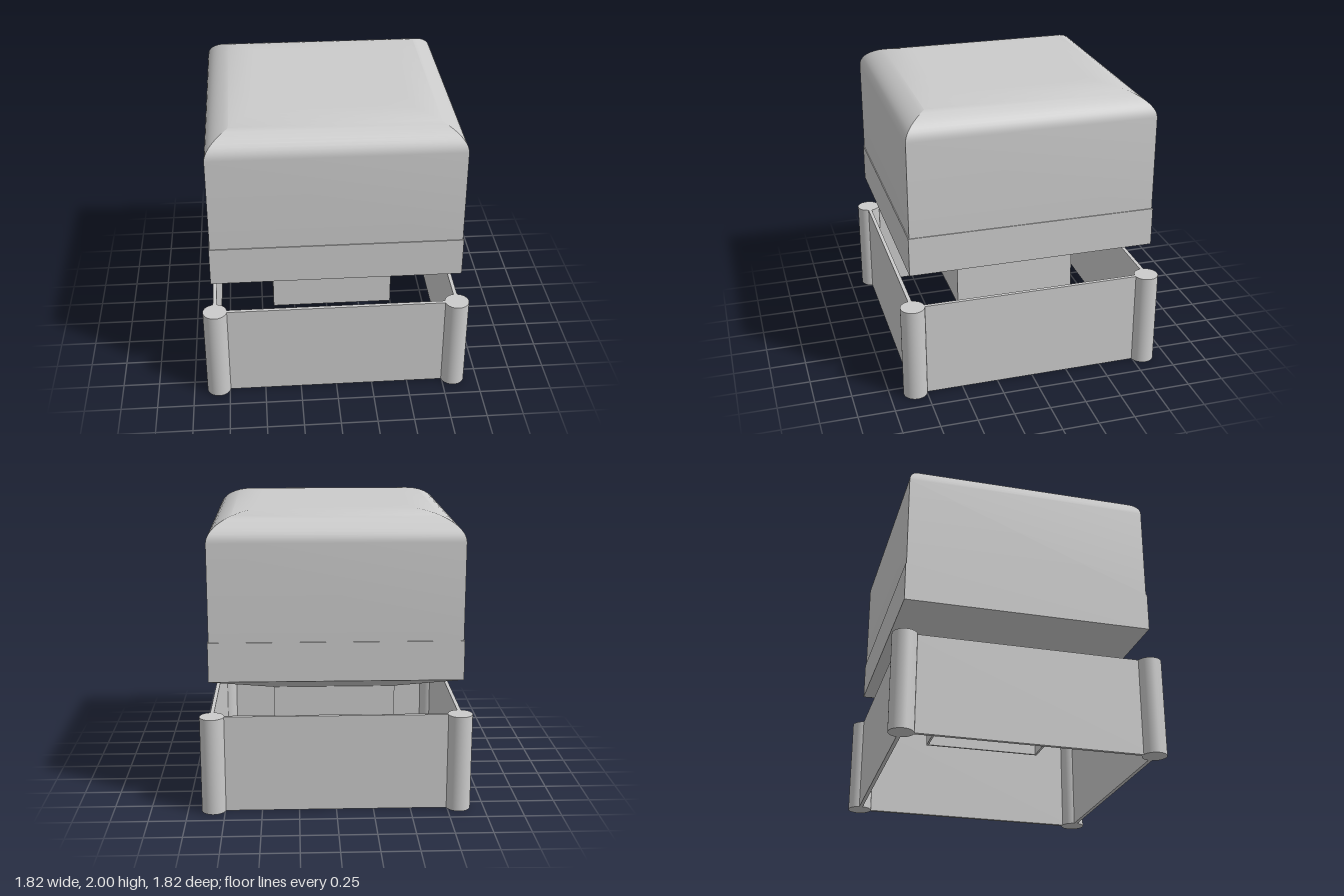
import * as THREE from 'three';
import { toCreasedNormals } from 'three/addons/utils/BufferGeometryUtils.js';

const grey = new THREE.MeshStandardMaterial({ color: 0xcccccc });
const greyDouble = new THREE.MeshStandardMaterial({ color: 0xcccccc, side: THREE.DoubleSide });

// Square solid from a profile of [half width, height], listed upwards
function squareLathe(profile) {
  const points = profile.map(([half, y]) => new THREE.Vector2(half * Math.SQRT2, y));
  return toCreasedNormals(new THREE.LatheGeometry(points, 4, Math.PI / 4), 0.5);
}

// Upright square tube, open at both ends
function squareTube(half, wall, bottom, top) {
  const square = (Type, h) => new Type([[-h, -h], [h, -h], [h, h], [-h, h]].map(p => new THREE.Vector2(...p)));
  const shape = square(THREE.Shape, half);
  shape.holes.push(square(THREE.Path, half - wall));
  const geometry = new THREE.ExtrudeGeometry(shape, { depth: top - bottom, bevelEnabled: false });
  return geometry.rotateX(-Math.PI / 2).translate(0, bottom, 0);
}

export function createModel() {
  const model = new THREE.Group();
  const add = (name, geometry, material = grey) => {
    const mesh = new THREE.Mesh(geometry, material);
    mesh.name = name;
    model.add(mesh);
    return mesh;
  };

  // Open base frame with a round post at each corner
  add('baseFrame', squareTube(0.84, 0.025, 0, 0.665));
  const post = new THREE.CylinderGeometry(0.082, 0.082, 0.665, 32);
  for (const x of [-1, 1]) {
    for (const z of [-1, 1]) {
      add('cornerPost', post).position.set(x * 0.826, 0.3325, z * 0.826);
    }
  }

  // Hollow stem hanging into the frame, and the flared underside of the head
  add('stem', squareTube(0.42, 0.015, 0.4, 0.905));
  add('flare', squareLathe([[0.42, 0.738], [0.84, 0.905]]), greyDouble);

  // Head: lower band, straight walls and a rounded cushion top
  add('band', squareLathe([[0, 0.905], [0.84, 0.905], [0.84, 1.17], [0.834, 1.17]]));
  const profile = [[0.834, 1.17]];
  const steps = 14;
  for (let i = 0; i <= steps; i++) {
    const a = (i / steps) * Math.PI / 2;
    profile.push([0.5 + 0.334 * Math.cos(a), 1.82 + 0.18 * Math.sin(a)]);
  }
  profile.push([0, 2]);
  add('head', squareLathe(profile));

  return model;
}
